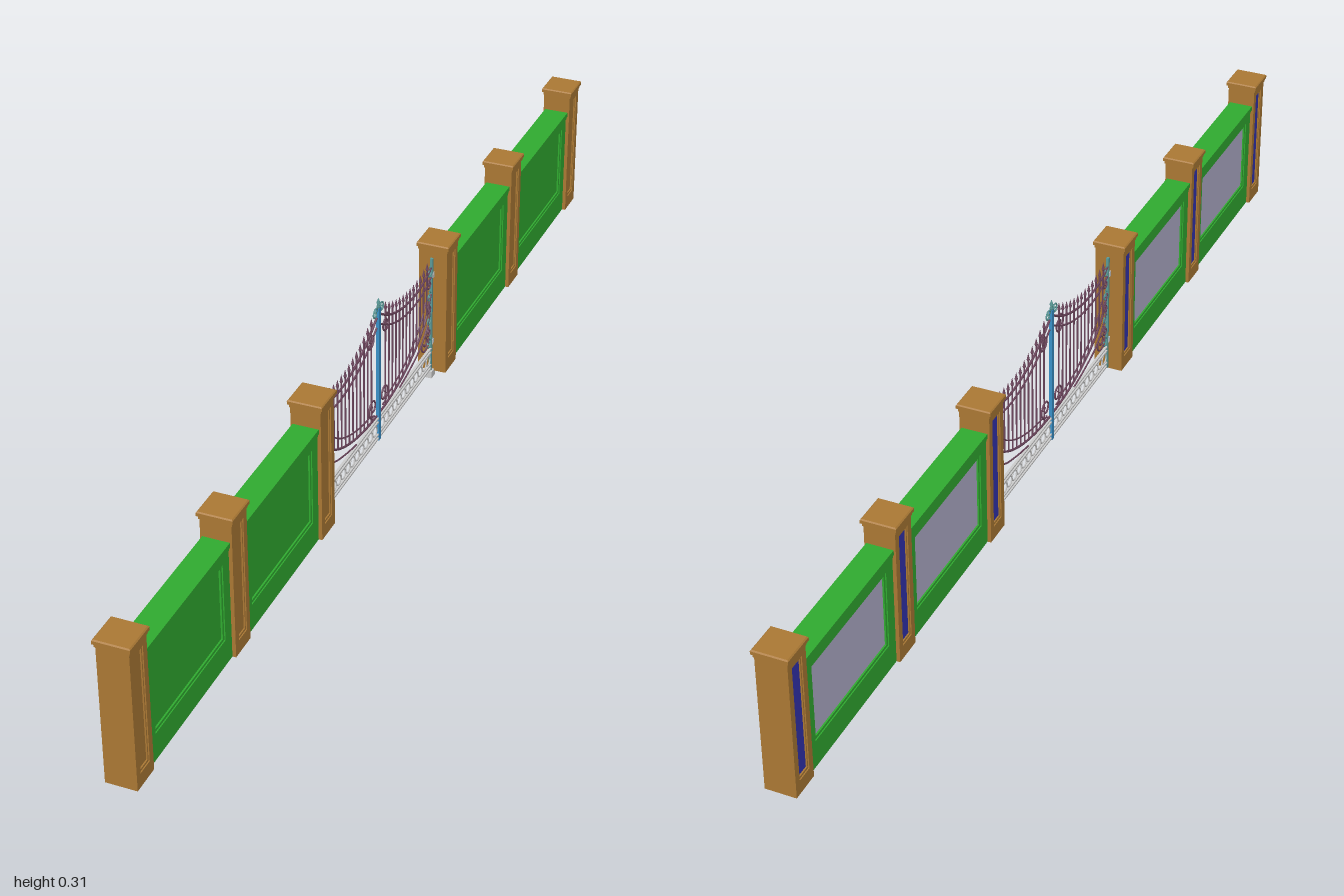
import * as THREE from 'three';

const mat = (color) => new THREE.MeshStandardMaterial({ color, side: THREE.DoubleSide });
const BROWN = mat(0xaa7834), GREEN = mat(0x30aa30), NAVY = mat(0x3232af), VIOLET = mat(0xb2afcb);
const IRON = mat(0x704860), BLUE = mat(0x3a90c8), TEAL = mat(0x5a9a98), GREY = mat(0xcccccc);

function add(parent, name, geometry, material, x = 0, y = 0, z = 0) {
  const mesh = new THREE.Mesh(geometry, material);
  mesh.name = name;
  mesh.position.set(x, y, z);
  parent.add(mesh);
  return mesh;
}

// box given by its centre in x and z, and its bottom and top
function box(parent, name, material, w, y0, y1, d, x = 0, z = 0) {
  return add(parent, name, new THREE.BoxGeometry(w, y1 - y0, d), material, x, (y0 + y1) / 2, z);
}

// upright frame in the y-z plane with a rectangular opening, centred on x
function frame(parent, name, material, x, thick, halfZ, y0, y1, holeZ, h0, h1) {
  const rect = (P, a, b, c) => {
    const p = new P();
    p.moveTo(-a, b); p.lineTo(a, b); p.lineTo(a, c); p.lineTo(-a, c); p.closePath();
    return p;
  };
  const shape = rect(THREE.Shape, halfZ, y0, y1);
  shape.holes.push(rect(THREE.Path, holeZ, h0, h1));
  const g = new THREE.ExtrudeGeometry(shape, { depth: thick, bevelEnabled: false });
  g.translate(0, 0, -thick / 2).rotateY(Math.PI / 2);
  return add(parent, name, g, material, x);
}

// hollow pillar, open below, with a sunk panel on both x faces
function pillar(z) {
  const g = new THREE.Group();
  g.name = 'pillar';
  g.position.z = z;
  for (const s of [1, -1]) {
    box(g, 'pillarSide', BROWN, 0.046, 0.01, 0.267, 0.006, 0, s * 0.024);
    frame(g, 'pillarFrame', BROWN, s * 0.025, 0.004, 0.027, 0.01, 0.267, 0.015, 0.035, 0.25);
    frame(g, 'pillarMoulding', BROWN, s * 0.0235, 0.003, 0.016, 0.033, 0.252, 0.0125, 0.039, 0.246);
    box(g, 'pillarPanel', s > 0 ? BROWN : NAVY, 0.002, 0.03, 0.255, 0.036, s * 0.0215);
  }
  box(g, 'pillarNeck', BROWN, 0.057, 0.262, 0.268, 0.057);
  box(g, 'pillarCap', BROWN, 0.062, 0.268, 0.274, 0.062);
  const top = new THREE.CylinderGeometry(0.029 * Math.SQRT2, 0.031 * Math.SQRT2, 0.002, 4, 1).toNonIndexed();
  top.rotateY(Math.PI / 4);
  top.computeVertexNormals();
  add(g, 'pillarCapTop', top, BROWN, 0, 0.275, 0);
  return g;
}

// wall bay with a framed panel and a stepped coping
function wall(z, length) {
  const g = new THREE.Group();
  g.name = 'wallBay';
  g.position.z = z;
  const h = length / 2;
  for (const s of [1, -1]) {
    frame(g, 'wallFrame', GREEN, s * 0.018, 0.005, h, 0.01, 0.215, h - 0.022, 0.058, 0.202);
    frame(g, 'wallMoulding', GREEN, s * 0.0165, 0.004, h - 0.02, 0.056, 0.204, h - 0.027, 0.063, 0.197);
    box(g, 'wallPanel', s > 0 ? GREEN : VIOLET, 0.002, 0.05, 0.21, length - 0.03, s * 0.0145);
  }
  box(g, 'copingLower', GREEN, 0.043, 0.215, 0.221, length);
  box(g, 'coping', GREEN, 0.047, 0.221, 0.23, length);
  return g;
}

// round bar through a list of [z, y] points, on side s
function bar(parent, name, material, points, r, s, segs = 24) {
  const curve = new THREE.CatmullRomCurve3(points.map(([z, y]) => new THREE.Vector3(0, y, s * z)));
  return add(parent, name, new THREE.TubeGeometry(curve, segs, r, 5), material);
}

// points of a spiral running inwards from angle a0
function spiral(cz, cy, r, a0, turns) {
  return Array.from({ length: 17 }, (_, i) => {
    const t = i / 16, a = a0 + t * turns * Math.PI * 2, q = r * (1 - 0.8 * t);
    return [cz + q * Math.cos(a), cy + q * Math.sin(a)];
  });
}

const upperRail = (z) => 0.212 + 0.055 * ((0.25 - z) / 0.24) ** 3 + 0.02 * (z / 0.25) ** 6;
const lowerArc = (z) => 0.068 + 0.125 * (1 - Math.sqrt(Math.max(0, 1 - ((z - 0.01) / 0.242) ** 2)));
const sample = (f, a, b) => Array.from({ length: 14 }, (_, i) => {
  const z = a + (b - a) * i / 13;
  return [z, f(z)];
});

function gateLeaf(s) {
  const g = new THREE.Group();
  g.name = 'gateLeaf';
  // outer stile and hinges
  box(g, 'hingeStile', TEAL, 0.005, 0.015, 0.25, 0.005, 0, s * 0.252);
  for (const y of [0.07, 0.21]) box(g, 'hinge', GREY, 0.007, y, y + 0.01, 0.01, 0, s * 0.257);
  // swept rails
  bar(g, 'upperRail', IRON, sample(upperRail, 0.008, 0.25), 0.0022, s);
  bar(g, 'secondRail', IRON, sample((z) => upperRail(z) - 0.02, 0.008, 0.25), 0.0018, s);
  bar(g, 'lowerArc', IRON, sample(lowerArc, 0.008, 0.25), 0.0022, s);
  bar(g, 'innerArc', IRON, sample((z) => lowerArc(z * 1.08) + 0.014, 0.03, 0.225), 0.0015, s);
  // spear-topped pickets
  for (let i = 0; i < 13; i++) {
    const z = 0.032 + i * 0.0165, y0 = lowerArc(z), y1 = upperRail(z) + 0.014;
    add(g, 'picket', new THREE.CylinderGeometry(0.0015, 0.0015, y1 - y0, 6), IRON, 0, (y0 + y1) / 2, s * z);
    add(g, 'spearTip', new THREE.ConeGeometry(0.003, 0.014, 6), IRON, 0, y1 + 0.007, s * z);
    add(g, 'spearCollar', new THREE.SphereGeometry(0.0028, 6, 4), IRON, 0, y1, s * z);
  }
  // bottom band filled with rings
  for (const y of [0.018, 0.026, 0.052, 0.06]) box(g, 'bottomRail', GREY, 0.005, y, y + 0.003, 0.248, 0, s * 0.128);
  for (let i = 0; i < 12; i++) {
    const ring = new THREE.TorusGeometry(0.0095, 0.0014, 5, 14).rotateY(Math.PI / 2);
    add(g, 'bandRing', ring, GREY, 0, 0.0405, s * (0.017 + i * 0.0203));
  }
  // scrolls by the meeting post
  bar(g, 'topScroll', IRON, spiral(0.033, 0.236, 0.02, Math.PI * 0.6, -1.5), 0.0017, s, 48);
  bar(g, 'footScroll', IRON, spiral(0.026, 0.095, 0.02, -Math.PI * 0.6, 1.5), 0.0017, s, 48);
  bar(g, 'crestScroll', TEAL, spiral(0.014, 0.279, 0.011, Math.PI, -1.4), 0.0015, s, 40);
  // scrolls by the hinge side
  bar(g, 'cornerScroll', IRON, spiral(0.222, 0.088, 0.02, 0, -1.5), 0.0016, s, 48);
  bar(g, 'cornerBrace', IRON, [[0.25, 0.15], [0.235, 0.118], [0.2, 0.09], [0.15, 0.074], [0.1, 0.064]], 0.0016, s);
  for (let i = 0; i < 7; i++) {
    const m = i % 2 ? IRON : TEAL;
    bar(g, 'stileScroll', m, spiral(0.242, 0.075 + i * 0.025, 0.0105, Math.PI / 2, i % 2 ? 1.4 : -1.4), 0.0014, s, 36);
  }
  return g;
}

export function createModel() {
  const root = new THREE.Group();
  root.name = 'gateAndWalls';
  for (const s of [1, -1]) {
    for (const z of [0.286, 0.627, 0.969]) root.add(pillar(s * z));
    root.add(wall(s * 0.4565, 0.287), wall(s * 0.798, 0.288));
    root.add(gateLeaf(s));
  }
  // meeting post with finial
  box(root, 'meetingPost', BLUE, 0.006, 0.015, 0.285, 0.008);
  const finial = [[0, 0], [0.003, 0], [0.0035, 0.004], [0.002, 0.007], [0.0035, 0.011], [0, 0.021]];
  add(root, 'finial', new THREE.LatheGeometry(finial.map(([x, y]) => new THREE.Vector2(x, y)), 10), TEAL, 0, 0.284, 0);
  // pivot feet under the gate pillars
  for (const z of [0.285, -0.255]) {
    box(root, 'pivotFoot', GREY, 0.018, 0, 0.014, 0.018, -0.004, z);
  }
  return root;
}
